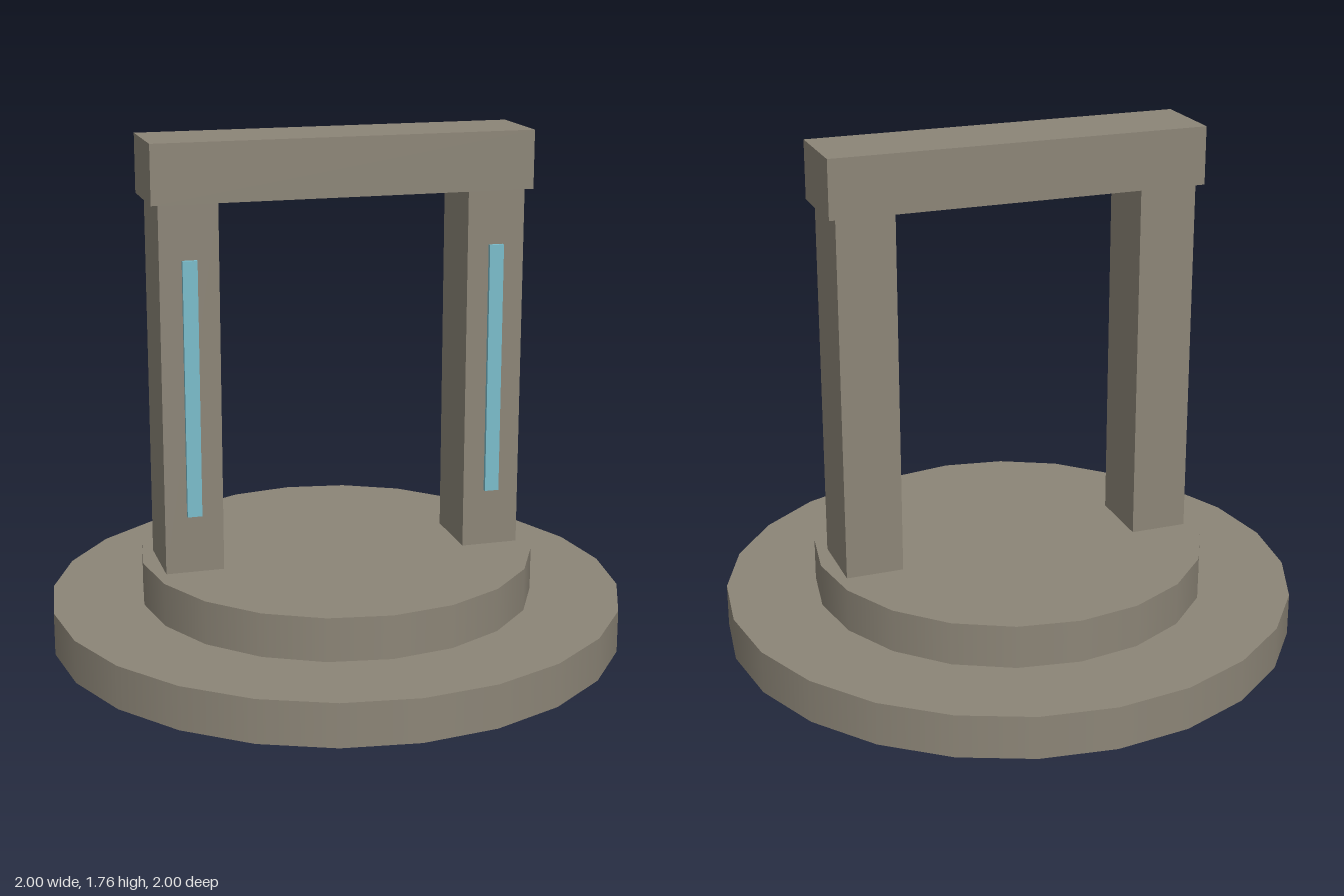
import * as THREE from 'three';

export function createModel() {
  const stone = new THREE.MeshStandardMaterial({ color: 0x8c8577 });
  stone.name = 'stone';
  const glow = new THREE.MeshStandardMaterial({ color: 0x7abccb });
  glow.name = 'paleBlue';

  const model = new THREE.Group();
  model.name = 'stoneGate';

  const add = (name, geometry, material, x, y, z) => {
    const mesh = new THREE.Mesh(geometry, material);
    mesh.name = name;
    mesh.position.set(x, y, z);
    model.add(mesh);
  };

  // Stepped round base
  add('lowerStep', new THREE.CylinderGeometry(1, 1, 0.15, 24), stone, 0, 0.075, 0);
  add('upperStep', new THREE.CylinderGeometry(0.687, 0.687, 0.15, 20), stone, 0, 0.225, 0);

  // Pillars, each with a raised strip on its front face
  for (const [side, s] of [['left', 1], ['right', -1]]) {
    add(side + 'Pillar', new THREE.BoxGeometry(0.2, 1.262, 0.25), stone, s * 0.53, 0.931, 0);
    add(side + 'Strip', new THREE.BoxGeometry(0.05, 0.875, 0.025), glow, s * 0.53, 0.938, 0.127);
  }

  // Lintel across the top
  add('lintel', new THREE.BoxGeometry(1.31, 0.2, 0.285), stone, 0, 1.662, 0);

  return model;
}
